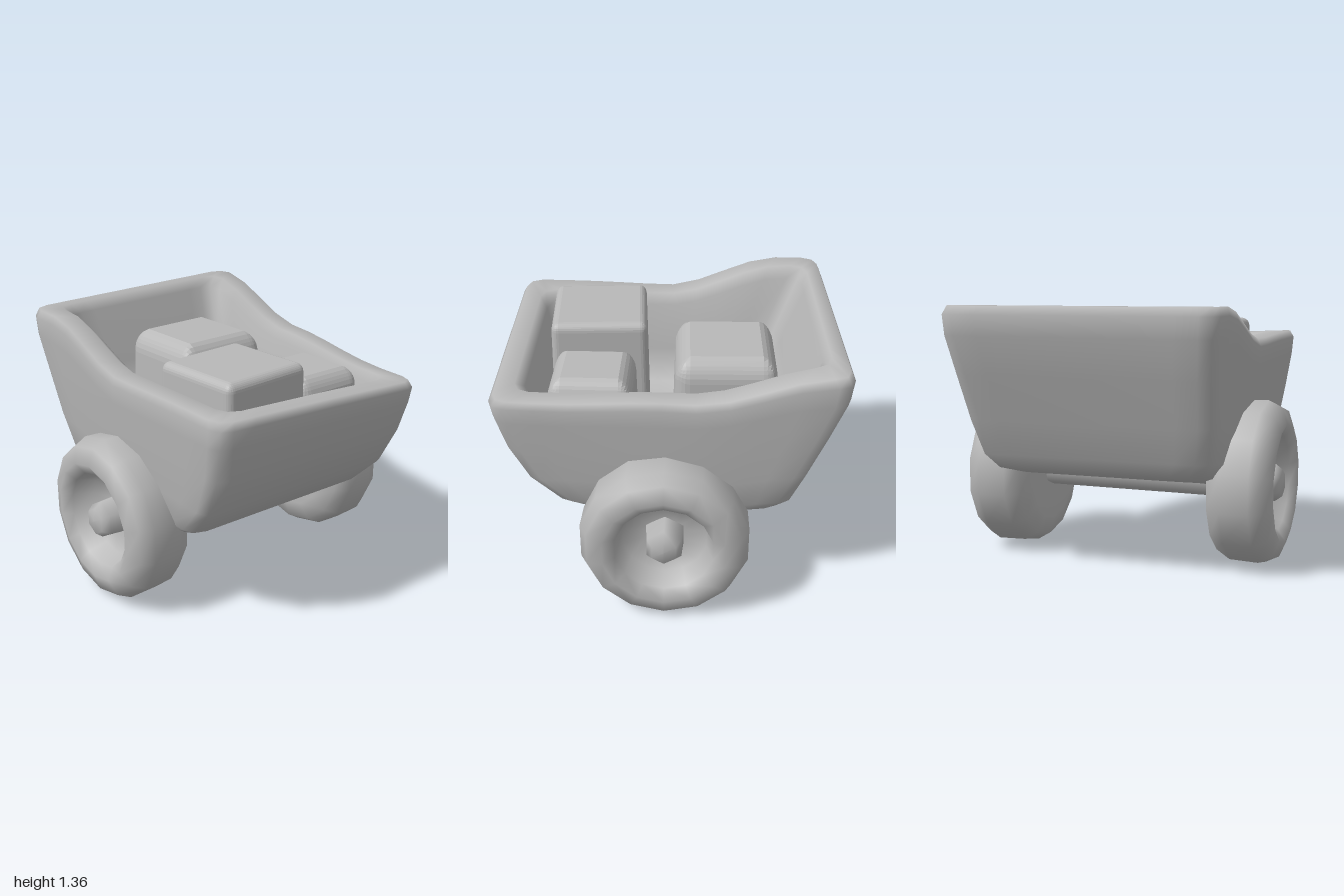
import * as THREE from 'three';
import { RoundedBoxGeometry } from 'three/addons/geometries/RoundedBoxGeometry.js';

const clay = new THREE.MeshStandardMaterial({ color: 0xb8b8b8 });
clay.name = 'clay grey';

const { lerp, smoothstep } = THREE.MathUtils;

function add(parent, name, geometry, x = 0, y = 0, z = 0) {
  const mesh = new THREE.Mesh(geometry, clay);
  mesh.name = name;
  mesh.position.set(x, y, z);
  parent.add(mesh);
  return mesh;
}

// Underside and rim heights along the tub; the rim is raised at the back
const bottomY = (x) => 0.42 + 0.08 * (1 - smoothstep(x, -0.6, -0.05));
const rimY = (x, z) => {
  const front = smoothstep(x, -0.1, 0.6);
  return 1.17 + 0.185 * (1 - smoothstep(x - 0.13 * z, -0.7, -0.04)) + front * (0.05 * z - 0.018);
};

// The far side of the tub draws in towards the front, and the back wall is slightly askew
const sideScale = (x, z) => (z > 0 ? lerp(1.025, 1.05, smoothstep(x, -0.9, 0.9)) : lerp(1.05, 0.86, smoothstep(x, -0.9, 0.9)));
const skewX = (x, z) => x + 0.07 * z * Math.max(0, -x);

// One closed loop around the tub: a rectangle with softened corners
function ring(back, front, half, t) {
  const corners = [[front, half], [back, half], [back, -half], [front, -half]];
  const r = Math.min(0.08, half * 0.5);
  const steps = 10;
  const points = [];
  corners.forEach((a, k) => {
    const b = corners[(k + 1) % 4];
    const length = Math.hypot(b[0] - a[0], b[1] - a[1]);
    points.push([a[0] - Math.sign(a[0] - (back + front) / 2) * r * 0.28, a[1] - Math.sign(a[1]) * r * 0.28]);
    for (let j = 0; j <= steps; j++) {
      const s = lerp(r, length - r, j / steps) / length;
      points.push([lerp(a[0], b[0], s), lerp(a[1], b[1], s)]);
    }
  });
  return points.map(([x, z]) => [skewX(x, z), lerp(bottomY(x), rimY(x, z), t), z * sideScale(x, z)]);
}

// Thick-walled tub: up the outside, over the rim, down to the inner floor
function tubGeometry() {
  const rings = [
    [-0.001, 0.001, 0.001, 0],
    [-0.47, 0.29, 0.46, 0],
    [-0.57, 0.42, 0.54, 0.03],
    [-0.625, 0.55, 0.59, 0.12],
    [-0.69, 0.70, 0.62, 0.33],
    [-0.775, 0.795, 0.64, 0.60],
    [-0.84, 0.84, 0.66, 0.83],
    [-0.85, 0.855, 0.665, 0.95],
    [-0.83, 0.835, 0.65, 1],
    [-0.76, 0.74, 0.54, 1],
    [-0.73, 0.70, 0.49, 0.94],
    [-0.61, 0.62, 0.45, 0.60],
    [-0.52, 0.52, 0.40, 0.35],
    [-0.001, 0.001, 0.001, 0.35],
  ].map((row) => ring(...row));
  const n = rings[0].length;
  const index = [];
  for (let i = 0; i < rings.length - 1; i++) {
    for (let j = 0; j < n; j++) {
      const a = i * n + j, b = i * n + (j + 1) % n;
      index.push(a, a + n, b, b, a + n, b + n);
    }
  }
  const geometry = new THREE.BufferGeometry();
  geometry.setAttribute('position', new THREE.Float32BufferAttribute(rings.flat(2), 3));
  geometry.setIndex(index);
  geometry.computeVertexNormals();
  return geometry;
}

// Chunky wheel with a recessed outer face and a hexagonal hub
function makeWheel(name) {
  const wheel = new THREE.Group();
  wheel.name = name;
  const tyre = [
    [0, -0.17], [0.28, -0.18], [0.38, -0.155], [0.425, -0.08], [0.43, 0.07],
    [0.395, 0.14], [0.31, 0.17], [0.25, 0.13], [0.215, 0.03], [0.1, 0], [0, 0],
  ].map(([r, h]) => new THREE.Vector2(r, h));
  add(wheel, 'tyre', new THREE.LatheGeometry(tyre, 14).rotateX(Math.PI / 2));
  const hub = [[0.11, -0.02], [0.1, 0.11], [0.07, 0.15], [0, 0.155]]
    .map(([r, h]) => new THREE.Vector2(r, h));
  add(wheel, 'hub', new THREE.LatheGeometry(hub, 6).rotateX(Math.PI / 2));
  return wheel;
}

// Crate with a bulging top that is a little narrower than its base
function crateGeometry(w, h, d, radius, bulge) {
  const geometry = new RoundedBoxGeometry(w, h, d, 3, radius);
  const p = geometry.attributes.position;
  for (let i = 0; i < p.count; i++) {
    if (p.getY(i) < h * 0.25) continue;
    const edge = Math.max(Math.abs(p.getX(i)) / w, Math.abs(p.getZ(i)) / d) * 2;
    p.setXYZ(i, p.getX(i) * 0.96, p.getY(i) - bulge * edge * edge, p.getZ(i) * 0.96);
  }
  geometry.computeVertexNormals();
  return geometry;
}

export function createModel() {
  const model = new THREE.Group();
  model.name = 'cart';

  // The whole cart stands turned on the ground
  const cart = new THREE.Group();
  cart.name = 'cartBody';
  cart.rotation.y = -THREE.MathUtils.degToRad(27);
  model.add(cart);

  add(cart, 'tub', tubGeometry());

  // Wheels on both sides and the axle joining them
  for (const side of [1, -1]) {
    const wheel = makeWheel(side > 0 ? 'nearWheel' : 'farWheel');
    wheel.position.set(-0.01, 0.43, side * 0.67);
    if (side < 0) wheel.rotation.y = Math.PI;
    cart.add(wheel);
  }
  add(cart, 'axle', new THREE.CylinderGeometry(0.1, 0.1, 1.1, 8).rotateX(Math.PI / 2), -0.01, 0.435, 0);

  // Load: x, z, width, depth, top height, edge radius, bulge, turn
  const crates = [
    ['backCrate', -0.295, -0.05, 0.54, 0.55, 1.255, 0.08, 0.08, 0.03],
    ['frontCrate', 0.376, 0.235, 0.52, 0.53, 1.275, 0.04, 0.02, 0.07],
    ['smallCrate', 0.375, -0.235, 0.44, 0.42, 1.18, 0.07, 0.06, 0],
  ];
  for (const [name, x, z, w, d, top, radius, bulge, turn] of crates) {
    const h = top - 0.62;
    const crate = add(cart, name, crateGeometry(w, h, d, radius, bulge), x, top - h / 2, z);
    crate.rotation.y = turn;
  }
  return model;
}
